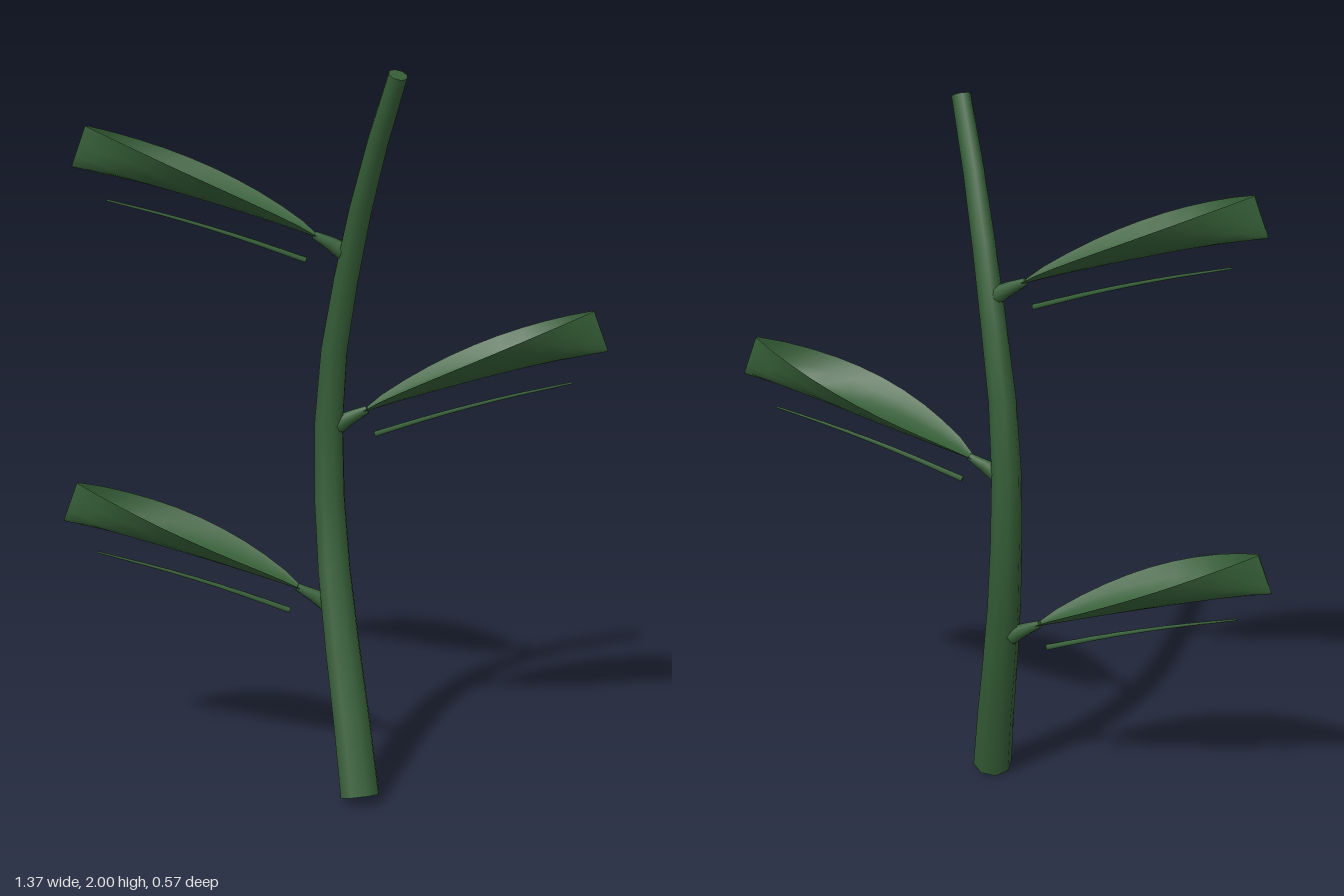
import * as THREE from 'three';

const stemGreen = new THREE.MeshStandardMaterial({ color: 0x355e37 });
stemGreen.name = 'stemGreen';
const leafGreen = new THREE.MeshStandardMaterial({ color: 0x355e37, side: THREE.DoubleSide });
leafGreen.name = 'leafGreen';

const UP = new THREE.Vector3(0, 1, 0);

// Closed cylinder bent along a curve, tapering from r0 to r1
function taperedRod(name, points, r0, r1, sides, segments) {
  const curve = new THREE.CatmullRomCurve3(points.map((p) => new THREE.Vector3(...p)));
  const geo = new THREE.CylinderGeometry(r1, r0, 1, sides, segments);
  const pos = geo.attributes.position;
  const nor = geo.attributes.normal;
  const v = new THREE.Vector3();
  const q = new THREE.Quaternion();
  for (let i = 0; i < pos.count; i++) {
    const t = THREE.MathUtils.clamp(pos.getY(i) + 0.5, 0, 1);
    q.setFromUnitVectors(UP, curve.getTangentAt(t));
    v.set(pos.getX(i), 0, pos.getZ(i)).applyQuaternion(q).add(curve.getPointAt(t));
    pos.setXYZ(i, v.x, v.y, v.z);
    v.fromBufferAttribute(nor, i).applyQuaternion(q);
    nor.setXYZ(i, v.x, v.y, v.z);
  }
  const mesh = new THREE.Mesh(geo, stemGreen);
  mesh.name = name;
  return mesh;
}

// Downward droop of the leaf's midline, t from base to tip
const LENGTH = 0.69;
const droop = (t) => -0.055 * t * t;

// Cupped blade: pointed from above, edges folding upward toward the tip
function bladeGeometry() {
  const geo = new THREE.PlaneGeometry(1, 2, 10, 8);
  const pos = geo.attributes.position;
  for (let i = 0; i < pos.count; i++) {
    const t = pos.getX(i) + 0.5;
    const u = pos.getY(i);
    const width = 0.004 + 0.11 * Math.pow(Math.max(0, Math.sin(Math.PI * t)), 0.85);
    const fold = 0.117 * Math.pow(t, 0.75);
    pos.setXYZ(i, LENGTH * t, droop(t) + fold * u * u, -width * u);
  }
  geo.computeVertexNormals();
  return geo;
}

// Leaf pointing along its local +x: stalk, blade and the vein beneath
function makeLeaf(blade) {
  const leaf = new THREE.Group();
  leaf.name = 'leaf';
  const bladeMesh = new THREE.Mesh(blade, leafGreen);
  bladeMesh.name = 'blade';
  const vein = [0.03, 0.3, 0.57, 0.83].map((t) => [LENGTH * t, droop(t) - 0.068, 0]);
  leaf.add(
    bladeMesh,
    taperedRod('leafStalk', [[-0.07, -0.012, 0], [-0.02, -0.002, 0], [0.025, 0.003, 0]], 0.026, 0.011, 8, 2),
    taperedRod('vein', vein, 0.008, 0.003, 6, 8),
  );
  return leaf;
}

export function createModel() {
  const model = new THREE.Group();
  model.name = 'plantSprig';

  // Curved main stem
  model.add(taperedRod('stem', [
    [0.15, 0.02, 0.143], [0.09, 0.27, 0.083], [0.03, 0.52, 0.03], [-0.012, 0.78, -0.012],
    [-0.02, 1.0, -0.02], [0.0, 1.22, -0.012], [0.065, 1.5, 0.02], [0.145, 1.74, 0.075], [0.25, 1.99, 0.143],
  ], 0.056, 0.026, 8, 10));

  // Alternating leaves: base position and heading in degrees
  const blade = bladeGeometry();
  for (const [x, y, z, heading] of [
    [-0.06, 0.55, 0.045, 200],
    [0.06, 1.045, -0.045, 20],
    [-0.008, 1.533, 0.045, 200],
  ]) {
    const leaf = makeLeaf(blade);
    leaf.position.set(x, y, z);
    leaf.rotation.set(0, THREE.MathUtils.degToRad(heading), THREE.MathUtils.degToRad(20), 'YXZ');
    model.add(leaf);
  }
  return model;
}
